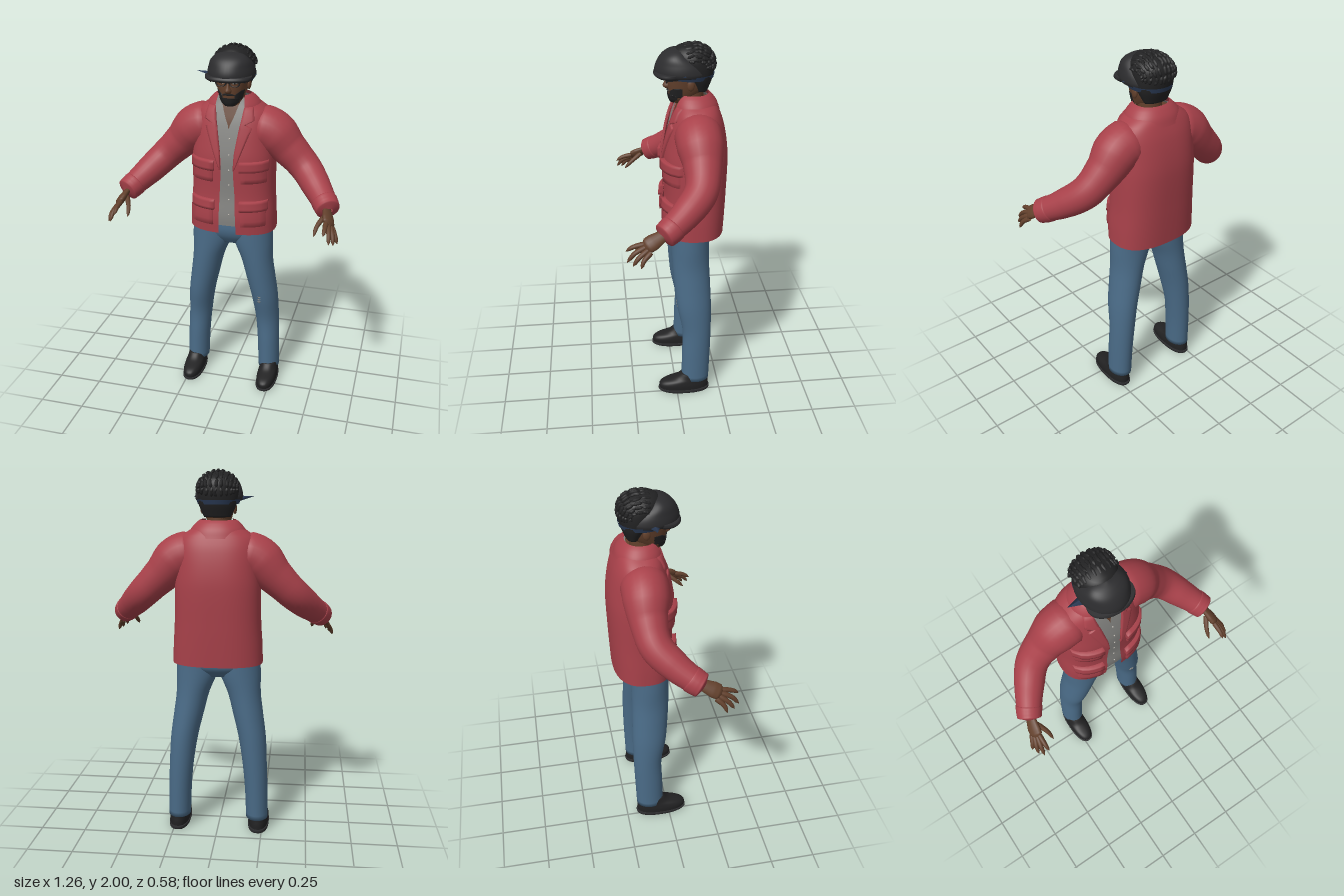
import * as THREE from 'three';
import { mergeVertices } from 'three/addons/utils/BufferGeometryUtils.js';

const paint = (name, color) => {
  const m = new THREE.MeshStandardMaterial({ color, side: THREE.DoubleSide });
  m.name = name;
  return m;
};

// Smooth interpolation of rows [y, ...values], sorted by rising y
function at(rows, y) {
  let i = 0;
  while (i < rows.length - 2 && y > rows[i + 1][0]) i++;
  const a = rows[i], b = rows[i + 1], p = rows[i - 1] || a, q = rows[i + 2] || b;
  const h = b[0] - a[0], t = THREE.MathUtils.clamp((y - a[0]) / h, 0, 1);
  return a.slice(1).map((va, k) => {
    const vb = b[k + 1];
    const m0 = (vb - p[k + 1]) / (b[0] - p[0]) * h, m1 = (q[k + 1] - va) / (q[0] - a[0]) * h;
    return va + t * m0 + t * t * (3 * (vb - va) - 2 * m0 - m1) + t * t * t * (2 * (va - vb) + m0 + m1);
  });
}

function gridGeometry(points, cols, extra = []) {
  const index = [], rows = points.length / 3 / cols;
  for (let i = 0; i < rows - 1; i++) for (let j = 0; j < cols - 1; j++) {
    const a = i * cols + j, d = a + cols;
    index.push(a, a + 1, d + 1, a, d + 1, d);
  }
  for (const [row, up, c] of extra) {
    const k = points.length / 3;
    points.push(...c);
    for (let j = 0; j < cols - 1; j++) {
      const a = row * cols + j;
      index.push(...(up ? [a, a + 1, k] : [a + 1, a, k]));
    }
  }
  let g = new THREE.BufferGeometry();
  g.setAttribute('position', new THREE.Float32BufferAttribute(points, 3));
  g.setIndex(index);
  g = mergeVertices(g, 1e-5);
  g.computeVertexNormals();
  return g;
}

// Body from level cross-sections [y, centreX, halfWidth, frontZ, backZ]
function loft(secs, { n = 2, seg = 40, rows = 26, off = 0, gap, caps = true, y0 = secs[0][0], y1 = secs[secs.length - 1][0] } = {}) {
  const pts = [], ends = [];
  for (let i = 0; i <= rows; i++) {
    const y = y0 + (y1 - y0) * i / rows;
    const [cx, w, f, b] = at(secs, y);
    const rx = Math.max(w - off, 0.002), rz = Math.max((f - b) / 2 - off, 0.002), cz = (f + b) / 2;
    const g = gap ? Math.max(0, at(gap, y)[0]) : 0;
    const start = Math.asin(Math.min(0.98, Math.pow(g / rx, n / 2)));
    for (let j = 0; j <= seg; j++) {
      const t = start + (2 * Math.PI - 2 * start) * j / seg, s = Math.sin(t), c = Math.cos(t);
      pts.push(cx + rx * Math.sign(s) * Math.abs(s) ** (2 / n), y, cz + rz * Math.sign(c) * Math.abs(c) ** (2 / n));
    }
    if (caps && (i === 0 || i === rows)) ends.push([i, i > 0, [cx, y, cz]]);
  }
  return gridGeometry(pts, seg + 1, ends);
}

// Raised panel on the front of a lofted body; rows are [y, x0, x1]
function panel(secs, rows, off, n = 2, side = 1) {
  const pts = [], us = [0, 0.001, 0.2, 0.4, 0.6, 0.8, 0.999, 1], list = [];
  rows.forEach((r, i) => {
    if (i) for (let k = 1; k < 4; k++) list.push(r.map((v, m) => rows[i - 1][m] + (v - rows[i - 1][m]) * k / 4));
    list.push(r);
  });
  const all = [list[0], ...list, list[list.length - 1]];
  all.forEach(([y, a, b], i) => us.forEach((u, j) => {
    const x = side > 0 ? a + (b - a) * u : -b + (b - a) * u;
    const [cx, rx, f, k] = at(secs, y);
    const e = Math.min(0.985, Math.abs(x - cx) / rx);
    const edge = i === 0 || i === all.length - 1 || j === 0 || j === us.length - 1;
    pts.push(x, y, (f + k) / 2 + (f - k) / 2 * (1 - e ** n) ** (1 / n) + (edge ? -0.004 : off));
  }));
  return gridGeometry(pts, us.length);
}

// Tube with changing radius, optionally flattened along an axis
function limb(points, radii, { seg = 24, sides = 16, axis, flat = 1 } = {}) {
  const curve = new THREE.CatmullRomCurve3(points.map(p => new THREE.Vector3(...p)));
  let g = new THREE.TubeGeometry(curve, seg, 1, sides);
  g.deleteAttribute('normal');
  g.deleteAttribute('uv');
  const pos = g.attributes.position, v = new THREE.Vector3();
  for (let i = 0; i < pos.count; i++) {
    const u = Math.floor(i / (sides + 1)) / seg, c = curve.getPointAt(u);
    const f = u * (radii.length - 1), k = Math.min(Math.floor(f), radii.length - 2);
    v.fromBufferAttribute(pos, i).sub(c).multiplyScalar(radii[k] + (radii[k + 1] - radii[k]) * (f - k));
    if (axis) v.addScaledVector(axis, -v.dot(axis) * (1 - flat));
    pos.setXYZ(i, v.x + c.x, v.y + c.y, v.z + c.z);
  }
  g = mergeVertices(g, 1e-5);
  g.computeVertexNormals();
  return g;
}

export function createModel() {
  const model = new THREE.Group();
  const red = paint('jacket red', 0xa8414a), denim = paint('denim blue', 0x4a6b87), skin = paint('skin brown', 0x62402c);
  const grey = paint('shirt grey', 0x858582), black = paint('cap black', 0x2c2c2e), hairMat = paint('hair black', 0x222223);
  const navy = paint('bandana navy', 0x2b3b56), white = paint('eye white', 0xb9b4ac);
  const add = (name, geo, mat) => {
    const m = new THREE.Mesh(geo, mat);
    m.name = name;
    model.add(m);
    return m;
  };

  // Torso: open jacket over shirt over skin
  const torso = [[0.985, 0, 0.243, 0.05, -0.275], [1.08, 0, 0.24, 0.058, -0.28], [1.2, 0, 0.232, 0.05, -0.285], [1.4, 0, 0.228, 0.055, -0.29],
    [1.5, 0, 0.22, 0.042, -0.282], [1.6, 0, 0.212, 0.02, -0.262], [1.66, 0, 0.19, 0, -0.24], [1.7, 0, 0.135, -0.015, -0.22], [1.73, 0, 0.09, -0.03, -0.19]];
  const N = 2.5;
  const opening = [[0.98, 0.05], [1.2, 0.042], [1.4, 0.034], [1.55, 0.055], [1.65, 0.078], [1.74, 0.08]];
  add('jacketBody', loft(torso, { n: N, gap: opening, caps: false, rows: 36, seg: 56 }), red);
  add('shirt', loft(torso, { n: N, off: 0.012, y0: 1.03, y1: 1.73, gap: [[1.03, 0], [1.57, 0], [1.64, 0.025], [1.73, 0.055]], caps: false, rows: 36 }), grey);
  add('chest', loft(torso, { n: N, off: 0.024, y0: 1.48, y1: 1.7 }), skin);
  add('neck', loft([[1.6, 0, 0.07, -0.02, -0.16], [1.7, 0, 0.062, -0.035, -0.16], [1.8, 0, 0.06, -0.03, -0.16]]), skin);
  add('jacketCollar', loft([[1.655, 0, 0.16, 0.012, -0.245], [1.7, 0, 0.14, 0, -0.228], [1.735, 0, 0.108, -0.02, -0.2], [1.745, 0, 0.092, -0.03, -0.186]],
    { n: 2.2, gap: [[1.65, 0.085], [1.75, 0.07]], caps: false, rows: 10 }), red);
  for (let i = 0; i < 6; i++) {
    const b = add('shirtButton', new THREE.SphereGeometry(0.005, 8, 6), white);
    b.position.set(0.008, 1.1 + i * 0.085, at(torso, 1.1 + i * 0.085)[2] - 0.012);
  }

  // Hips
  add('hips', loft([[0.9, 0, 0.1, -0.02, -0.15], [0.95, 0, 0.2, 0.012, -0.19], [1, 0, 0.225, 0.022, -0.195], [1.12, 0, 0.21, 0.01, -0.19]], { n: 2.3 }), denim);

  const palmAxis = new THREE.Vector3(0.77, 0.62, 0.14).normalize();
  for (const s of [1, -1]) {
    const side = s > 0 ? 'left' : 'right';
    const put = (name, geo, mat) => add(side + name, geo, mat);
    const flip = pts => pts.map(([x, y, z]) => [x * s, y, z]);
    const axis = palmAxis.clone();
    axis.x *= s;

    // Sleeve and cuff
    put('Sleeve', limb(flip([[0.08, 1.57, -0.115], [0.2, 1.55, -0.115], [0.3, 1.455, -0.12], [0.4, 1.358, -0.1], [0.48, 1.28, -0.015], [0.55, 1.215, 0.085]]),
      [0.08, 0.122, 0.118, 0.1, 0.089, 0.084, 0.079, 0.07, 0.062], { seg: 40, sides: 24 }), red);
    put('Cuff', limb(flip([[0.52, 1.243, 0.04], [0.54, 1.224, 0.07], [0.562, 1.204, 0.108]]), [0.05, 0.069, 0.069, 0.068, 0.067, 0.065, 0.064, 0.02], { sides: 24 }), red);

    // Hand
    put('Palm', limb(flip([[0.545, 1.22, 0.08], [0.56, 1.195, 0.13], [0.578, 1.155, 0.205]]), [0.032, 0.031, 0.036, 0.042, 0.04, 0.001], { axis, flat: 0.5 }), skin);
    [[[0.543, 1.185, 0.14], [0.515, 1.15, 0.195], [0.506, 1.11, 0.238]],
      [[0.561, 1.173, 0.195], [0.562, 1.16, 0.25], [0.56, 1.138, 0.285]],
      [[0.572, 1.162, 0.19], [0.584, 1.135, 0.245], [0.59, 1.092, 0.282]],
      [[0.583, 1.15, 0.18], [0.602, 1.12, 0.225], [0.61, 1.08, 0.255]],
      [[0.59, 1.14, 0.165], [0.612, 1.11, 0.2], [0.626, 1.073, 0.215]]].forEach((p, i) =>
      put(i ? 'Finger' : 'Thumb', limb(flip(p), [0.013, 0.014, 0.013, 0.012, 0.011, 0.009, 0.001], { seg: 12, sides: 10 }), skin));

    // Trouser leg and shoe
    const leg = [[0.075, 0.222, 0.062, -0.03, -0.188], [0.25, 0.216, 0.064, -0.033, -0.194], [0.4, 0.206, 0.068, -0.036, -0.198], [0.55, 0.19, 0.076, -0.008, -0.199],
      [0.68, 0.166, 0.083, 0.006, -0.195], [0.8, 0.143, 0.091, 0.015, -0.19], [0.92, 0.119, 0.113, 0.02, -0.19], [1.05, 0.115, 0.112, 0.02, -0.19]]
      .map(([y, x, ...r]) => [y, x * s, ...r]);
    put('TrouserLeg', loft(leg, { rows: 36, seg: 32 }), denim);
    if (s > 0) for (let i = 0; i < 3; i++) {
      const y = 0.54 + i * 0.016;
      put('KneeRip', panel(leg, [[y, 0.165 + i * 0.004, 0.182 - i * 0.002], [y + 0.008, 0.167, 0.186]], 0.003), grey);
    }
    const cx = 0.228 * s;
    put('Shoe', loft([[0.015, cx, 0.056, 0.098, -0.185], [0.045, cx, 0.057, 0.1, -0.186], [0.065, cx, 0.054, 0.075, -0.184], [0.085, cx, 0.05, 0.01, -0.182], [0.115, cx, 0.047, -0.03, -0.178]], { n: 2.3 }), hairMat);
    put('Sole', loft([[0, cx, 0.058, 0.09, -0.188], [0.008, cx, 0.06, 0.105, -0.192], [0.02, cx, 0.059, 0.105, -0.191]], { n: 2.4, rows: 4 }), black);

    // Lapel and flapped pockets
    put('Lapel', panel(torso, [[1.36, 0.034, 0.04], [1.46, 0.04, 0.078], [1.585, 0.06, 0.125], [1.605, 0.064, 0.09], [1.625, 0.068, 0.135], [1.69, 0.078, 0.122]], 0.009, N, s), red);
    for (const [top, h] of [[1.41, 0.12], [1.185, 0.145]]) {
      put('Pocket', panel(torso, [[top - h, 0.078, 0.205], [top - 0.02, 0.078, 0.205]], 0.014, N, s), red);
      put('PocketFlap', panel(torso, [[top - 0.055, 0.07, 0.213], [top, 0.07, 0.213]], 0.023, N, s), red);
    }
  }

  // Head and face
  const head = [[1.695, 0, 0.03, 0.005, -0.06], [1.715, 0, 0.052, 0.016, -0.11], [1.76, 0, 0.071, 0.024, -0.165], [1.8, 0, 0.081, 0.027, -0.185],
    [1.85, 0, 0.088, 0.026, -0.195], [1.92, 0, 0.08, 0.01, -0.18]];
  add('head', loft(head, { n: 2.2 }), skin);
  add('nose', loft([[1.768, 0, 0.014, 0.038, 0], [1.78, 0, 0.019, 0.051, 0], [1.8, 0, 0.012, 0.043, 0], [1.835, 0, 0.008, 0.03, 0]], { seg: 16, rows: 10 }), skin);
  add('beard', panel(head, [[1.697, -0.024, 0.024], [1.715, -0.048, 0.048], [1.738, -0.058, 0.058], [1.742, -0.03, 0.03]], 0.007, 2.2), hairMat);
  add('moustache', panel(head, [[1.757, -0.034, 0.034], [1.766, -0.022, 0.022]], 0.006, 2.2), hairMat);
  for (const s of [1, -1]) {
    add('beardSide', panel(head, [[1.73, 0.03, 0.06], [1.76, 0.034, 0.069], [1.78, 0.062, 0.074]], 0.004, 2.2, s), hairMat);
    add('eye', panel(head, [[1.818, 0.024, 0.046], [1.827, 0.026, 0.044]], 0.003, 2.2, s), white);
    add('pupil', panel(head, [[1.818, 0.031, 0.039], [1.827, 0.031, 0.039]], 0.005, 2.2, s), hairMat);
    const rim = add('glassesRim', new THREE.TorusGeometry(0.023, 0.0035, 6, 20), hairMat);
    rim.position.set(0.036 * s, 1.823, 0.034);
    rim.scale.set(1.15, 0.75, 1);
    const arm = add('glassesArm', new THREE.BoxGeometry(0.004, 0.006, 0.12), hairMat);
    arm.position.set(0.078 * s, 1.828, -0.026);
    arm.rotation.y = 0.22 * s;
    const ear = add('ear', new THREE.SphereGeometry(0.026, 14, 10), skin);
    ear.position.set(0.086 * s, 1.8, -0.085);
    ear.scale.set(0.4, 1.1, 0.75);
    // Loose bandana end beside the cap
    const tip = s < 0 ? 0.085 : 0.03;
    const knot = add('bandanaEnd', new THREE.ConeGeometry(0.028, tip, 4), navy);
    knot.scale.set(0.45, 1, 1);
    knot.position.set(s * (0.105 + tip / 2), 1.856, -0.05);
    knot.rotation.z = s * -1.4;
  }
  const bridge = add('glassesBridge', new THREE.BoxGeometry(0.02, 0.004, 0.005), hairMat);
  bridge.position.set(0, 1.828, 0.038);

  // Hair with short braids, bandana and cap
  add('hair', loft([[1.76, 0, 0.07, -0.11, -0.18], [1.83, 0, 0.1, -0.06, -0.206], [1.91, 0, 0.107, -0.005, -0.214], [1.955, 0, 0.09, 0, -0.195], [1.985, 0, 0.05, -0.03, -0.14], [1.994, 0, 0.01, -0.07, -0.1]]), hairMat);
  let seed = 7;
  const rnd = () => (seed = (seed * 16807) % 2147483647) / 2147483647 - 0.5;
  for (let k = -5; k <= 5; k++) for (let m = 0; m < 5; m++) {
    const pts = [0, 1, 2].map(i => {
      const a = k * 0.25 + rnd() * 0.12, t = 0.55 - m * 0.5 - i * 0.27;
      return [0.108 * Math.sin(a), 1.9 + 0.094 * Math.cos(a) * Math.cos(t), -0.105 + 0.112 * Math.sin(t) * (0.35 + 0.65 * Math.cos(a))];
    });
    add('braid', limb(pts, [0.002, 0.009, 0.008, 0.009, 0.002], { seg: 8, sides: 6 }), hairMat);
  }
  add('bandana', loft([[1.825, 0, 0.108, 0.02, -0.21], [1.848, 0, 0.116, 0.03, -0.216]], { caps: false, rows: 3 }), navy);
  add('cap', loft([[1.842, 0, 0.121, 0.082, -0.2], [1.86, 0, 0.126, 0.093, -0.203], [1.9, 0, 0.118, 0.084, -0.175], [1.94, 0, 0.098, 0.058, -0.1], [1.966, 0, 0.06, 0.02, -0.06], [1.975, 0, 0.01, -0.01, -0.04]]), black);
  add('capPeak', loft([[1.836, 0, 0.112, 0.088, -0.06], [1.846, 0, 0.122, 0.098, -0.06], [1.862, 0, 0.122, 0.09, -0.06]], { n: 2.1, rows: 6 }), black);
  return model;
}
